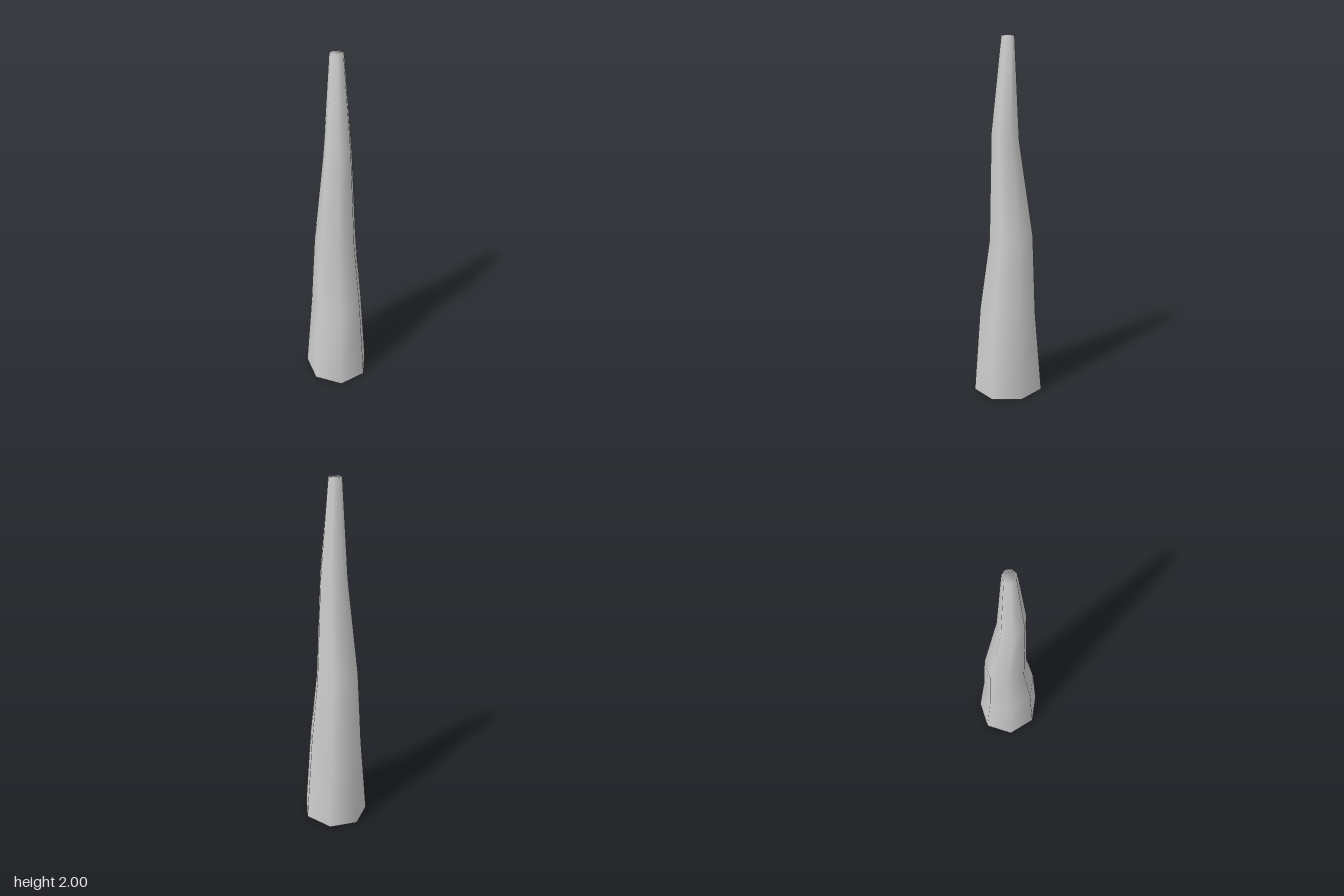
import * as THREE from 'three';

const SIDES = 7;

// Cross-sections from base to tip: height, z offset, x radius, z radius, slope of the ring along z
const RINGS = [
  { y: 0, z: 0, rx: 0.188, rz: 0.2, tilt: 0 },
  { y: 0.48, z: 0.002, rx: 0.152, rz: 0.162, tilt: 0.1 },
  { y: 0.905, z: -0.0185, rx: 0.12, rz: 0.125, tilt: -0.12 },
  { y: 1.465, z: 0.0175, rx: 0.078, rz: 0.0775, tilt: 0.32 },
  { y: 2, z: 0.0025, rx: 0.038, rz: 0.036, tilt: 0 },
];

// Seven-sided tapering skin, open at the base and closed at the tip
function taperedSkin() {
  const points = [];
  const faces = [];
  for (const r of RINGS) {
    for (let i = 0; i < SIDES; i++) {
      const a = (i / SIDES) * Math.PI * 2;
      const dz = Math.sin(a) * r.rz;
      points.push(Math.cos(a) * r.rx - 0.01, r.y + dz * r.tilt, r.z + dz);
    }
  }
  for (let k = 0; k < RINGS.length - 1; k++) {
    for (let i = 0; i < SIDES; i++) {
      const j = (i + 1) % SIDES;
      const a = k * SIDES + i, b = k * SIDES + j;
      const c = a + SIDES, d = b + SIDES;
      faces.push(a, c, b, b, c, d);
    }
  }
  // Tip cap, sharing the last ring so the shading rolls over the edge
  const top = (RINGS.length - 1) * SIDES;
  for (let i = 1; i < SIDES - 1; i++) faces.push(top, top + i + 1, top + i);

  const geometry = new THREE.BufferGeometry();
  geometry.setAttribute('position', new THREE.Float32BufferAttribute(points, 3));
  geometry.setIndex(faces);
  geometry.computeVertexNormals();
  return geometry;
}

export function createModel() {
  const group = new THREE.Group();
  group.name = 'taperedSpike';
  const material = new THREE.MeshStandardMaterial({ color: 0xcccccc, side: THREE.DoubleSide });
  const shaft = new THREE.Mesh(taperedSkin(), material);
  shaft.name = 'shaft';
  group.add(shaft);
  return group;
}
